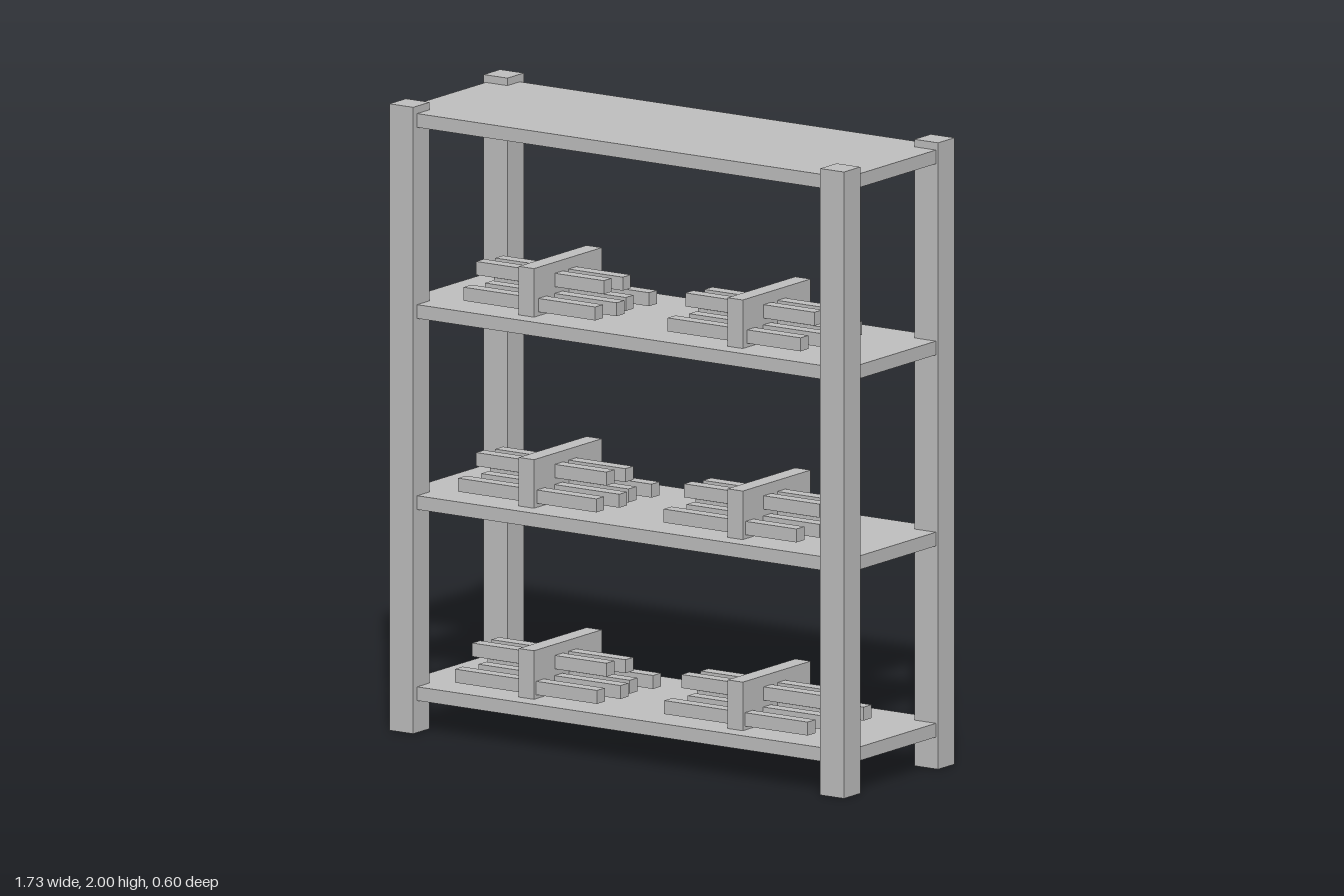
import * as THREE from 'three';

const grey = new THREE.MeshStandardMaterial({ color: 0xbfbfbf });
grey.name = 'plain grey';

// Box given by its extents along each axis
function box(name, [x0, x1], [y0, y1], [z0, z1]) {
  const mesh = new THREE.Mesh(new THREE.BoxGeometry(x1 - x0, y1 - y0, z1 - z0), grey);
  mesh.position.set((x0 + x1) / 2, (y0 + y1) / 2, (z0 + z1) / 2);
  mesh.name = name;
  return mesh;
}

// Row of bars that alternate between the two ends of the span
function barRow(name, [x0, x1], y, depths) {
  const row = new THREE.Group();
  row.name = name;
  const h = 0.0215;
  depths.forEach((z, i) => {
    const span = i % 2 ? [x0 + 0.02, x1] : [x0, x1 - 0.02];
    row.add(box('bar', span, [y - h, y + h], [z - h, z + h]));
  });
  return row;
}

export function createModel() {
  const model = new THREE.Group();
  model.name = 'storageRack';

  // Corner posts
  for (const x of [-0.818, 0.818])
    for (const z of [-0.257, 0.257])
      model.add(box('post', [x - 0.045, x + 0.045], [0, 2], [z - 0.045, z + 0.045]));

  // Shelf boards
  const tops = [0.146, 0.756, 1.366, 1.976];
  for (const y of tops)
    model.add(box('shelf', [-0.855, 0.855], [y - 0.044, y], [-0.28, 0.28]));

  // Bundles: lower and upper bar spans for the right and left of each shelf
  const bundles = [
    { shelf: 0, x: -0.4, lower: [-0.68, -0.12], upper: [-0.685, -0.155], edge: 0.187 },
    { shelf: 0, x: 0.393, lower: [0.115, 0.68], upper: [0.11, 0.67], edge: 0.187 },
    { shelf: 1, x: -0.4, lower: [-0.67, -0.125], upper: [-0.67, -0.155], edge: 0.183 },
    { shelf: 1, x: 0.393, lower: [0.11, 0.635], upper: [0.12, 0.655], edge: 0.183 },
    { shelf: 2, x: -0.4, lower: [-0.655, -0.135], upper: [-0.67, -0.165], edge: 0.175 },
    { shelf: 2, x: 0.393, lower: [0.12, 0.645], upper: [0.125, 0.635], edge: 0.175 },
  ];
  for (const b of bundles) {
    const y = tops[b.shelf];
    const bundle = new THREE.Group();
    bundle.name = 'bundle';
    bundle.add(
      box('holder', [b.x - 0.029, b.x + 0.029], [y, y + 0.155], [-0.15, 0.22]),
      barRow('lowerBars', b.lower, y + 0.034, [b.edge, 0.087, 0.008, -0.09]),
      barRow('upperBars', b.upper, y + 0.098, [0.085, 0.01]),
    );
    model.add(bundle);
  }
  return model;
}
